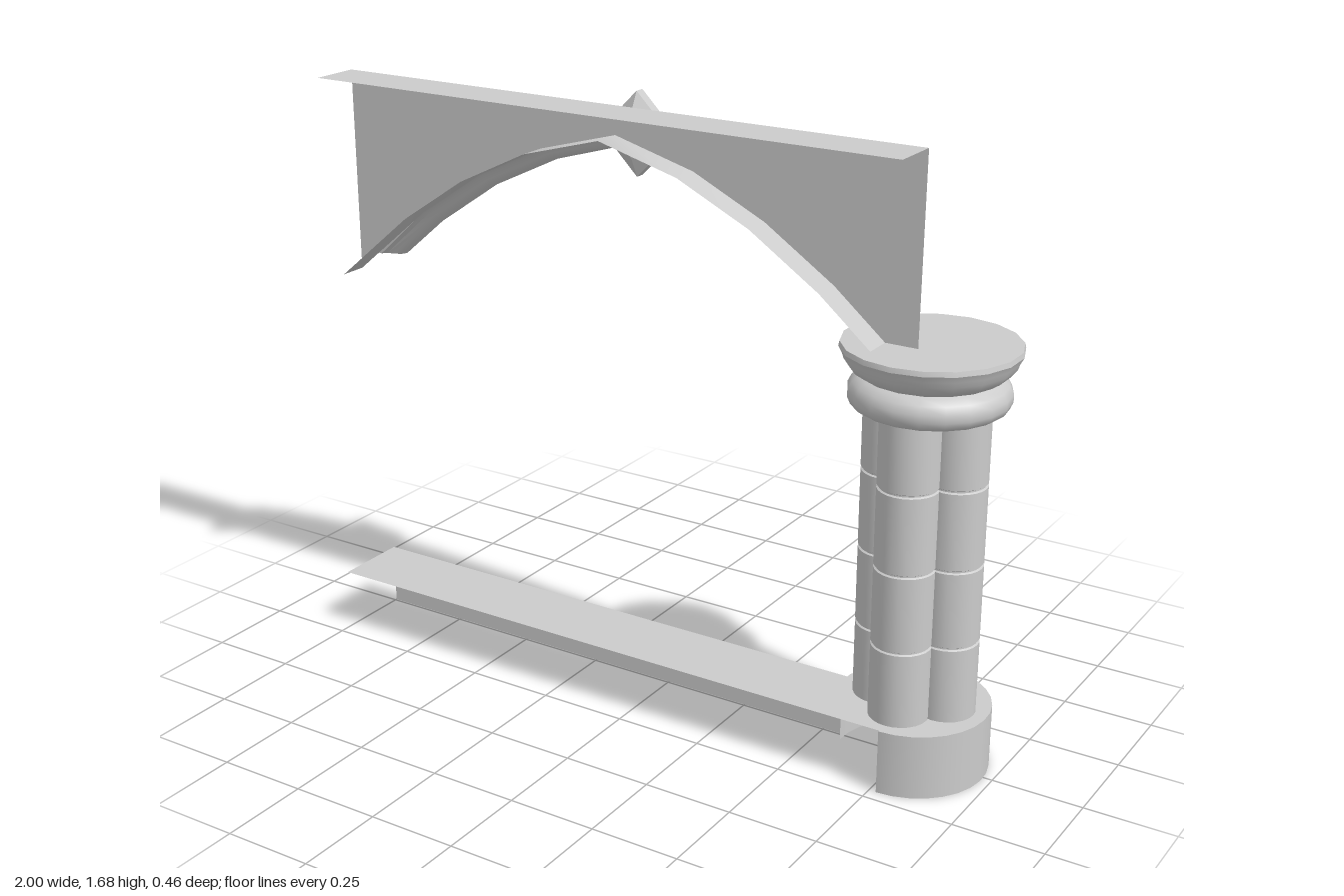
import * as THREE from 'three';
import { toCreasedNormals } from 'three/addons/utils/BufferGeometryUtils.js';

const material = new THREE.MeshStandardMaterial({ color: 0xcccccc, side: THREE.DoubleSide });
const CENTRE = -0.1175; // x of the arch apex
const SHEET_Z = 0.07; // plane of the spandrel
const LOW_Z = -0.005; // plane of the low wall
const FRONT_Z = 0.21;
const COLUMN_X = 0.77;

function add(parent, name, geometry, x = 0, y = 0, z = 0) {
  const mesh = new THREE.Mesh(geometry, material);
  mesh.name = name;
  mesh.position.set(x, y, z);
  parent.add(mesh);
  return mesh;
}

// Mirrors the left half of an arch (given as distance from the apex, y) to the right
function archPath(half) {
  const left = half.map(([d, y]) => new THREE.Vector2(CENTRE - d, y));
  const right = half.slice(0, -1).reverse().map(([d, y]) => new THREE.Vector2(CENTRE + d, y));
  return [...left, ...right];
}

// Upward offset direction at each path point, mitred at the joints
function offsets(path, endOffset) {
  const normal = (a, b) => new THREE.Vector2(a.y - b.y, b.x - a.x).normalize();
  return path.map((p, i) => {
    if (i === 0) return endOffset.clone();
    if (i === path.length - 1) return new THREE.Vector2(-endOffset.x, endOffset.y);
    const n = normal(path[i - 1], p);
    const m = n.clone().add(normal(p, path[i + 1])).normalize();
    return m.divideScalar(m.dot(n));
  });
}

// Sweeps a profile of [z, offset] pairs along an arch path
function sweep(path, profile, endOffset) {
  const dirs = offsets(path, endOffset);
  const positions = [];
  const indices = [];
  const n = profile.length;
  path.forEach((p, i) => profile.forEach(([z, o]) => {
    positions.push(p.x + dirs[i].x * o, p.y + dirs[i].y * o, z);
  }));
  for (let i = 0; i < path.length - 1; i++) {
    for (let j = 0; j < n - 1; j++) {
      const a = i * n + j;
      indices.push(a, a + n, a + 1, a + 1, a + n, a + n + 1);
    }
  }
  const g = new THREE.BufferGeometry();
  g.setAttribute('position', new THREE.Float32BufferAttribute(positions, 3));
  g.setIndex(indices);
  return toCreasedNormals(g, 0.6);
}

function lathe(points, segments, crease = 0.7) {
  const g = new THREE.LatheGeometry(points.map(([r, y]) => new THREE.Vector2(r, y)), segments);
  return toCreasedNormals(g, crease);
}

// Horizontal ledge from a wall plane forward
function ledge(parent, name, y, backZ) {
  const g = new THREE.PlaneGeometry(COLUMN_X + 1, FRONT_Z - backZ).rotateX(-Math.PI / 2);
  add(parent, name, g, (COLUMN_X - 1) / 2, y, (FRONT_Z + backZ) / 2);
}

function buildWall() {
  const wall = new THREE.Group();
  wall.name = 'wall';

  // Spandrel sheet above the arch, with its top and stepped underside
  const edge = archPath([[0.8825, 1.09], [0.648, 1.287], [0.448, 1.42], [0.237, 1.522], [0, 1.587]]);
  const shape = new THREE.Shape([
    ...edge, new THREE.Vector2(COLUMN_X, 1.665), new THREE.Vector2(-1, 1.665),
  ]);
  add(wall, 'spandrel', new THREE.ShapeGeometry(shape), 0, 0, SHEET_Z);
  const up = new THREE.Vector2(0, 1.15);
  add(wall, 'archUndersideFront', sweep(edge, [[0.15, 0], [SHEET_Z, 0]], up));
  add(wall, 'archUndersideBack', sweep(edge, [[SHEET_Z, 0.046], [0.01, 0.046]], up));
  ledge(wall, 'spandrelTop', 1.665, SHEET_Z);

  // Low wall, set further back and ending at the column base
  const end = COLUMN_X - 0.205;
  add(wall, 'lowWallFace', new THREE.PlaneGeometry(end + 1, 0.178), (end - 1) / 2, 0.089, LOW_Z);
  ledge(wall, 'lowWallTop', 0.178, LOW_Z);
  return wall;
}

function buildRib() {
  const rib = new THREE.Group();
  rib.name = 'archRib';
  const path = archPath([[0.7575, 1.14], [0.6225, 1.255], [0.4275, 1.387], [0.2225, 1.485], [0, 1.55]]);
  const moulding = [
    [0.069, 0.042], [0.069, 0.075], [0.055, 0.088], [0.035, 0.091], [0, 0.091], [-0.022, 0.086],
    [-0.034, 0.073], [-0.036, 0.058], [-0.03, 0.044], [-0.018, 0.034], [-0.012, 0.022],
    [-0.002, 0.008], [0.016, 0], [0.034, 0.006], [0.046, 0.02], [0.054, 0.034], [0.069, 0.042],
  ];
  add(rib, 'ribMoulding', sweep(path, moulding, new THREE.Vector2(-1.2, 0.1)));

  // Diamond boss at the apex with a recessed back
  const boss = lathe([
    [0, 0.003], [0.06, 0.005], [0.115, 0.032], [0.115, 0.06], [0.11, 0.063],
    [0.086, 0.063], [0.07, 0.045], [0, 0.045],
  ], 4, 0.1).rotateX(-Math.PI / 2);
  add(rib, 'keystoneBoss', boss, CENTRE, 1.57, 0);
  return rib;
}

function buildColumn() {
  const column = new THREE.Group();
  column.name = 'column';
  column.position.x = COLUMN_X;

  // Three-quarter drum base, open where the low wall runs into it
  const arc = Math.PI * 1.5 + 0.07;
  const drum = new THREE.CylinderGeometry(0.205, 0.205, 0.178, 22, 1, true, 0, arc);
  add(column, 'baseDrum', drum, 0, 0.089, 0.01);
  const cap = new THREE.CircleGeometry(0.205, 22, -Math.PI / 2, arc).rotateX(-Math.PI / 2);
  add(column, 'baseTop', cap, 0, 0.178, 0.01);

  // Four clustered shafts with grooved joints
  const r = 0.08;
  const profile = [[r, 0.178]];
  for (const y of [0.386, 0.6, 0.817]) {
    profile.push([r, y - 0.005], [r - 0.005, y - 0.002], [r - 0.005, y + 0.002], [r, y + 0.005]);
  }
  profile.push([r, 1.02]);
  const shaft = lathe(profile, 24, 0.5);
  for (let i = 0; i < 4; i++) {
    const a = i * Math.PI / 2;
    add(column, 'shaft', shaft, 0.09 * Math.cos(a), 0, 0.01 + 0.09 * Math.sin(a));
  }

  // Capital: lower roll and flared top
  add(column, 'capitalRoll', lathe([
    [0.188, 1], [0.2, 1.008], [0.207, 1.025], [0.207, 1.045], [0.197, 1.065], [0.18, 1.078], [0.165, 1.084],
  ], 20));
  add(column, 'capitalTop', lathe([
    [0.165, 1.08], [0.18, 1.085], [0.202, 1.1], [0.217, 1.12], [0.222, 1.135],
    [0.231, 1.152], [0.228, 1.165], [0, 1.165],
  ], 18));
  return column;
}

export function createModel() {
  const model = new THREE.Group();
  model.name = 'archBay';
  model.add(buildWall(), buildRib(), buildColumn());
  return model;
}
